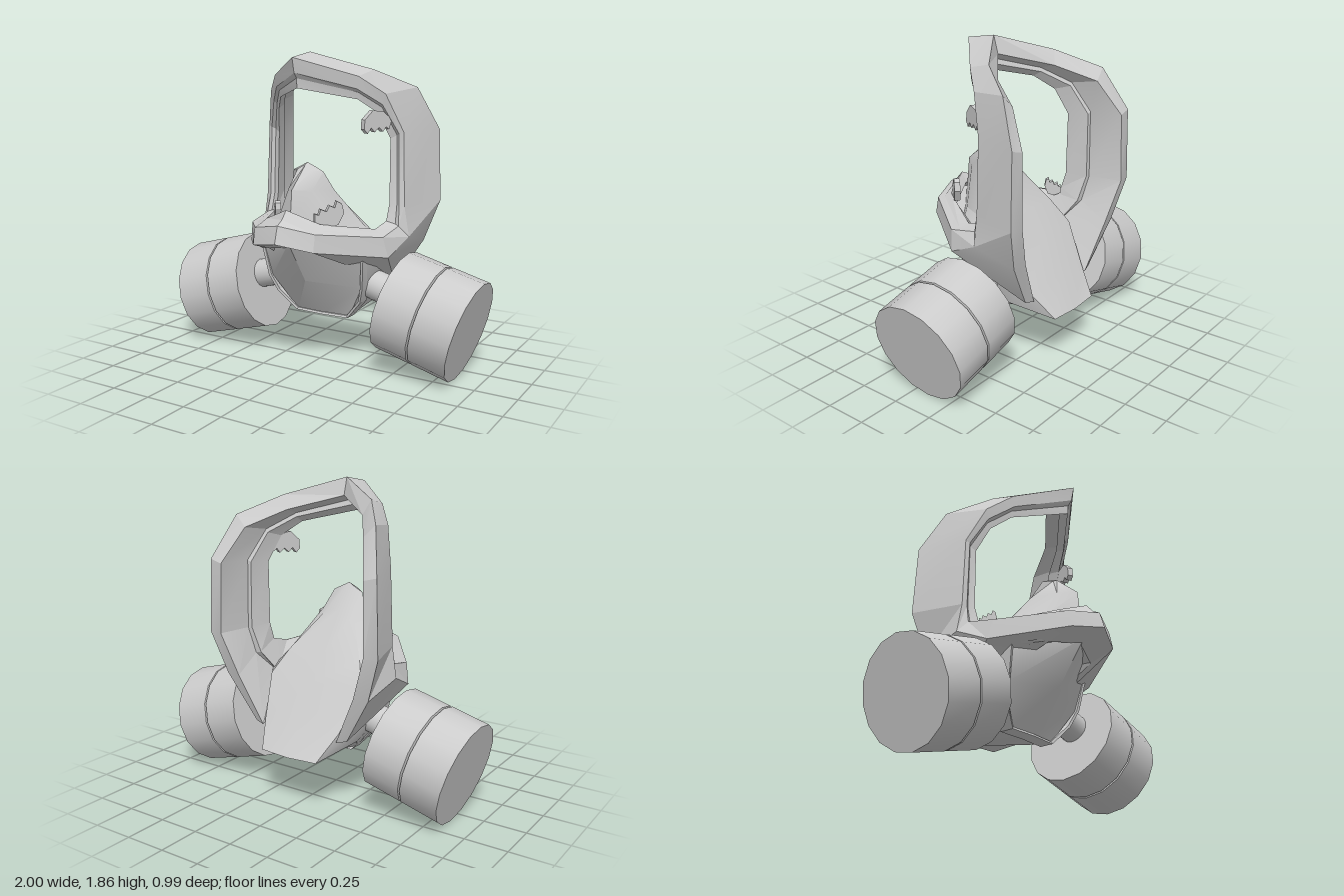
import * as THREE from 'three';
import { toCreasedNormals } from 'three/addons/utils/BufferGeometryUtils.js';

const material = new THREE.MeshStandardMaterial({ color: 0xcccccc, side: THREE.DoubleSide });

function part(name, geometry, crease = 0.5) {
  const mesh = new THREE.Mesh(toCreasedNormals(geometry, crease), material);
  mesh.name = name;
  return mesh;
}

// Completes a half loop of points whose first and last lie on x = 0
const mirrorX = ([x, y, z]) => [-x, y, z];
const fullLoop = half => half.concat(half.slice(1, -1).reverse().map(mirrorX));
const mix = (a, b, t) => a.map((v, i) => v + (b[i] - v) * t);

// Skins closed cross-sections; optionally joins last to first or caps the ends
function loft(rows, { join = false, caps = false } = {}) {
  const n = rows[0].length, index = [];
  const last = join ? rows.length : rows.length - 1;
  for (let i = 0; i < last; i++) {
    const r0 = i * n, r1 = ((i + 1) % rows.length) * n;
    for (let j = 0; j < n; j++) {
      const k = (j + 1) % n;
      index.push(r0 + j, r0 + k, r1 + k, r0 + j, r1 + k, r1 + j);
    }
  }
  if (caps) {
    const e = (rows.length - 1) * n;
    for (let j = 1; j < n - 1; j++) index.push(0, j + 1, j, e, e + j, e + j + 1);
  }
  const geometry = new THREE.BufferGeometry();
  geometry.setAttribute('position', new THREE.Float32BufferAttribute(rows.flat(2), 3));
  geometry.setIndex(index);
  return geometry;
}

// Visor frame: sections run outer back, outer front, lip, inner rim, inner back
function visorFrame() {
  const sections = [
    [[0, 1.855, .11], [0, 1.825, .30], [0, 1.74, .28], [0, 1.655, .25], [0, 1.75, .08]],
    [[.30, 1.755, -.10], [.28, 1.72, .05], [.27, 1.65, .05], [.26, 1.59, .02], [.26, 1.67, -.13]],
    [[.47, 1.65, -.33], [.39, 1.62, -.07], [.37, 1.56, -.07], [.34, 1.51, -.08], [.40, 1.58, -.34]],
    [[.56, 1.40, -.46], [.465, 1.40, -.16], [.44, 1.39, -.15], [.385, 1.36, -.15], [.48, 1.38, -.465]],
    [[.575, .97, -.465], [.48, .97, -.155], [.45, .97, -.145], [.39, .98, -.14], [.49, .97, -.475]],
    [[.49, .72, -.42], [.51, .79, -.16], [.46, .855, -.12], [.385, .88, -.11], [.40, .72, -.43]],
    [[.32, .44, -.37], [.475, .70, .04], [.45, .82, .06], [.37, .85, 0], [.26, .43, -.385]],
    [[.20, .72, .25], [.20, .77, .41], [.20, .87, .39], [.18, .91, .30], [.17, .76, .2]],
    [[0, .76, .32], [0, .81, .49], [0, .91, .46], [0, .985, .37], [0, .83, .28]],
  ];
  // A small step sits inside the lip, and a deeper one behind the inner rim
  const half = sections.map(([back, front, lip, rim, inner]) => {
    const [x, y, z] = mix(lip, rim, .35);
    const step = [x, y, z - .015];
    return [back, front, lip, step, rim, mix(inner, rim, .62), mix(inner, step, .64), inner];
  });
  const other = half.slice(1, -1).reverse().map(section => section.map(mirrorX));
  return part('visorFrame', loft(half.concat(other), { join: true }), 0.25);
}

// Face cup: sections from nose to chin, each from back centre round to front centre
function faceCup() {
  const rows = [
    [[0, 1.23, .14], [.05, 1.205, .13], [.10, 1.18, .13], [.05, 1.19, .17], [0, 1.22, .16]],
    [[0, 1.08, .04], [.10, 1.06, .03], [.145, 1.07, .08], [.08, 1.08, .22], [0, 1.09, .31]],
    [[0, .85, -.13], [.25, .84, -.13], [.28, .84, -.06], [.20, .86, .16], [0, .90, .33]],
    [[0, .70, -.24], [.32, .70, -.22], [.40, .70, -.10], [.34, .71, .10], [0, .79, .35]],
    [[0, .50, -.38], [.26, .47, -.36], [.33, .50, -.15], [.31, .50, .05], [0, .53, .17]],
    [[0, .315, -.495], [.19, .32, -.485], [.28, .38, -.20], [.18, .28, -.04], [0, .28, -.03]],
  ];
  return part('faceCup', loft(rows.map(fullLoop), { caps: true }), 0.6);
}

// Raised border round the front of the cup
function cupRim() {
  const edge = fullLoop([[0, .80, .37], [.29, .71, .20], [.35, .71, .10], [.325, .50, .06], [.29, .40, .02],
    [.18, .278, -.03], [0, .278, -.02]]);
  const ring = (scale, dz) => edge.map(([x, y, z]) => [x * scale, .54 + (y - .54) * scale, z + dz]);
  return part('cupRim', loft([ring(.94, -.06), ring(.95, .005), ring(1, .01), ring(1, -.08)]), 0.3);
}

// Filter canister with a fine groove, plus its connecting pipe
function filter(side) {
  const group = new THREE.Group();
  group.name = side > 0 ? 'leftFilter' : 'rightFilter';
  const r = .305, h = .2375;
  const profile = [[0, -h], [r, -h], [r, -.006], [r - .018, 0], [r, .006], [r, h], [0, h]]
    .map(([x, y]) => new THREE.Vector2(x, y));
  const canister = part('filterCanister', new THREE.LatheGeometry(profile, 16));
  canister.position.set(side * .693, .355, -.1);
  const pipe = part('filterPipe', new THREE.CylinderGeometry(.09, .09, .32, 16));
  pipe.position.set(side * .37, .485, -.08);
  for (const mesh of [canister, pipe]) mesh.rotation.z = side * (Math.PI / 2 - Math.PI / 12) + Math.PI;
  group.add(canister, pipe);
  return group;
}

// Jagged remnant of the broken visor
function shard(name, width, height, position, rotation) {
  const outline = [[-.5, -.35], [-.1, -.5], [.3, -.4], [.5, .05], [.42, .4], [.25, .5], [.18, .25],
    [0, .35], [-.1, .12], [-.3, .22], [-.36, 0], [-.5, .05]];
  const shape = new THREE.Shape(outline.map(([x, y]) => new THREE.Vector2(x * width, y * height)));
  const geometry = new THREE.ExtrudeGeometry(shape, { depth: .035, bevelEnabled: false });
  geometry.translate(0, 0, -.0175);
  const mesh = part(name, geometry, 0.2);
  mesh.position.set(...position);
  mesh.rotation.set(...rotation);
  return mesh;
}

export function createModel() {
  const model = new THREE.Group();
  model.name = 'respiratorMask';
  model.add(
    visorFrame(), faceCup(), cupRim(), filter(1), filter(-1),
    shard('upperShard', .18, .15, [.345, 1.455, -.04], [0, 1.1, 2.8]),
    shard('lowerLeftShard', .17, .15, [.20, .96, .24], [0, .8, 0]),
    shard('lowerRightShard', .10, .11, [-.35, .89, -.07], [0, -.9, 0]),
  );
  return model;
}
